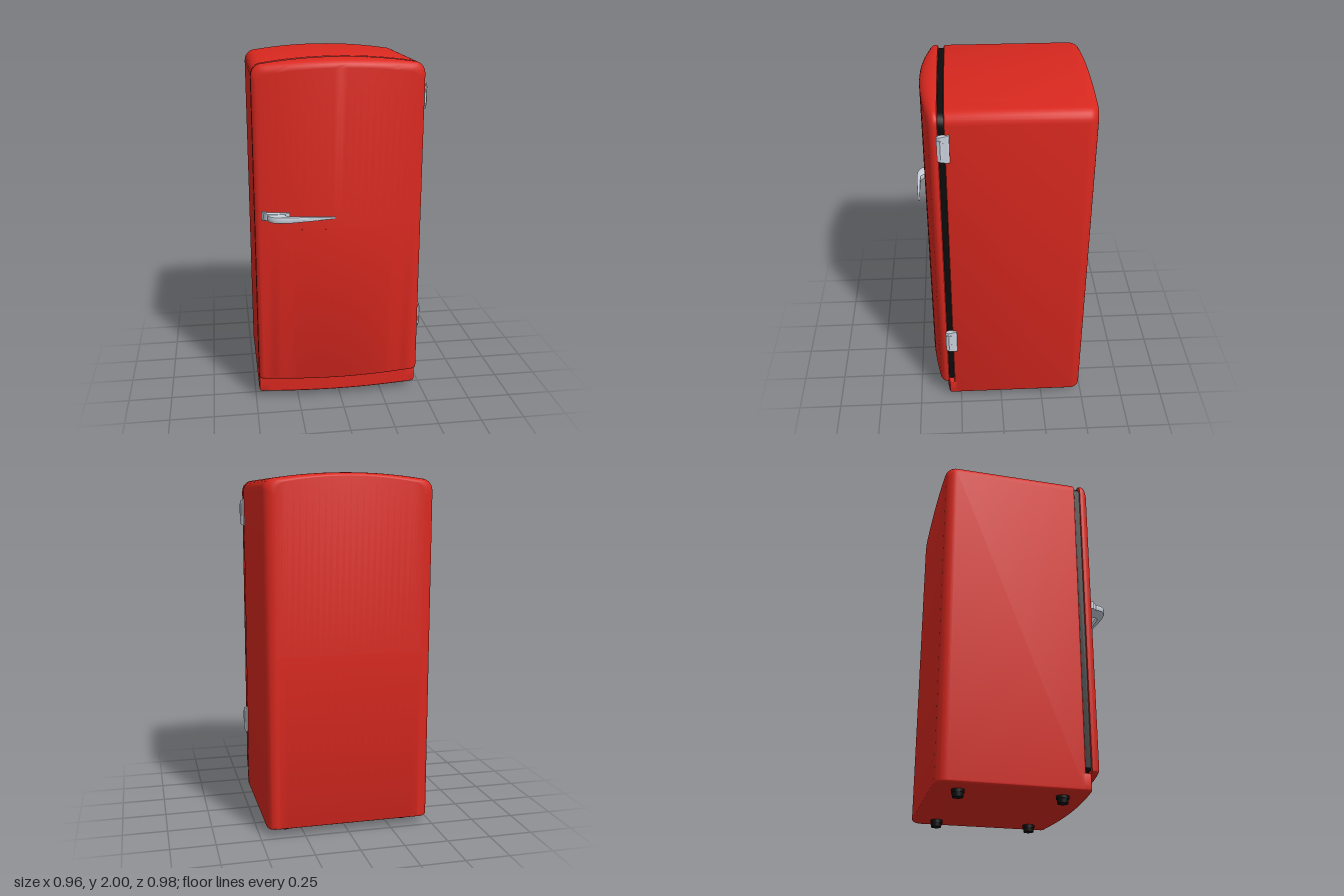
import * as THREE from 'three';
import { toCreasedNormals } from 'three/addons/utils/BufferGeometryUtils.js';

const HALF_W = 0.47;
const CENTRE_X = -0.01;
const material = (color) => new THREE.MeshStandardMaterial({ color });
const red = material(0xd9281f);
const black = material(0x0c0c0c);
const metal = material(0xc8d0dc);

// Counter-clockwise cabinet outline: arched top (sag), rounded corners.
function outline({ w, top, bottom, sag, rt, rb }) {
  const pts = [];
  const arc = (cx, cy, r, from) => {
    for (let i = 0; i <= 6; i++) {
      const a = from + (i / 6) * Math.PI / 2;
      pts.push([cx + r * Math.cos(a), cy + r * Math.sin(a)]);
    }
  };
  const shoulder = top - sag - rt;
  arc(w - rb, bottom + rb, rb, -Math.PI / 2);
  arc(w - rt, shoulder, rt, 0);
  for (let i = 1; i < 20; i++) {
    const u = 1 - i / 10;
    pts.push([u * (w - rt), top - sag * u * u]);
  }
  arc(-(w - rt), shoulder, rt, Math.PI / 2);
  arc(-(w - rb), bottom + rb, rb, Math.PI);
  for (let i = 1; i < 20; i++) pts.push([(i / 10 - 1) * (w - rb), bottom]);
  return pts;
}

// Skins outline rings from back to front; each ring has z, insets and a share of the front bulge.
function shell(base, rings, bulge = 0) {
  const mid = (base.top + base.bottom) / 2;
  const sections = rings.map(({ z, dx = 0, dt = 0, db = 0, f = 0 }) =>
    outline({ ...base, w: base.w - dx, top: base.top - dt, bottom: base.bottom + db })
      .map(([x, y]) => [x, y, z + f * bulge * (1 - (x / HALF_W) ** 2)]));
  // end faces: fold the first and last ring onto the horizontal mid line
  const fold = (s) => s.map(([x, , z]) => [x, mid, z]);
  sections.unshift(fold(sections[0]));
  sections.push(fold(sections[sections.length - 1]));

  const n = sections[0].length;
  const index = [];
  for (let i = 0; i < sections.length - 1; i++) {
    for (let j = 0; j < n; j++) {
      const a = i * n + j, b = i * n + (j + 1) % n;
      index.push(a, b, b + n, a, b + n, a + n);
    }
  }
  const g = new THREE.BufferGeometry();
  g.setAttribute('position', new THREE.Float32BufferAttribute(sections.flat(2), 3));
  g.setIndex(index);
  return toCreasedNormals(g, 0.6);
}

// Quarter-round series of rings, t from 0 to 1.
const quarter = (fn) => Array.from({ length: 9 }, (_, i) => {
  const a = (i / 8) * Math.PI / 2;
  return fn(Math.sin(a), 1 - Math.cos(a));
});

// Plan-view shape (x, z) extruded symmetrically about y = 0.
function planExtrude(shape, height, bevel) {
  const g = new THREE.ExtrudeGeometry(shape, {
    depth: height - 2 * bevel, bevelEnabled: true, bevelSize: bevel, bevelThickness: bevel,
    bevelOffset: -bevel, bevelSegments: 2, curveSegments: 10,
  });
  return g.translate(0, 0, bevel - height / 2).rotateX(Math.PI / 2);
}

export function createModel() {
  const model = new THREE.Group();
  const add = (name, geometry, mat, x = 0, y = 0, z = 0, parent = model) => {
    const mesh = new THREE.Mesh(geometry, mat);
    mesh.name = name;
    mesh.position.set(x, y, z);
    parent.add(mesh);
    return mesh;
  };

  // Cabinet with generously rounded rear edges
  const body = { w: HALF_W, top: 2, bottom: 0.04, sag: 0.03, rt: 0.065, rb: 0.015 };
  add('cabinet', shell(body, [
    ...quarter((s, c) => ({ z: -0.49 + 0.06 * c, dx: 0.06 * (1 - s), dt: 0.02 * (1 - s), db: 0.012 * (1 - s) })),
    { z: 0.28 },
    { z: 0.287, dx: 0.002, dt: 0.002, db: 0.002 },
    { z: 0.29, dx: 0.008, dt: 0.008, db: 0.008 },
  ]), red, CENTRE_X);

  // Door seal
  add('doorSeal', shell({ ...body, w: HALF_W - 0.01, top: 1.985, bottom: 0.155 },
    [{ z: 0.285 }, { z: 0.325 }]), black, CENTRE_X);

  // Bowed door with soft front edges
  add('door', shell({ ...body, bottom: 0.14 }, [
    { z: 0.321, dx: 0.008, dt: 0.008, db: 0.006 },
    { z: 0.324, dx: 0.002, dt: 0.002, db: 0.002 },
    { z: 0.33 },
    ...quarter((s, c) => ({ z: 0.338 + 0.027 * s, dx: 0.03 * c, dt: 0.05 * c, db: 0.02 * c, f: s })),
  ], 0.055), red, CENTRE_X);

  // Plinth below the door, bowed like the door
  add('plinth', shell({ w: HALF_W, top: 0.135, bottom: 0.04, sag: 0, rt: 0.004, rb: 0.015 }, [
    { z: 0.27 },
    { z: 0.305, f: 0.9 },
    { z: 0.317, f: 1, dx: 0.003, dt: 0.002, db: 0.002 },
    { z: 0.32, f: 1, dx: 0.01, dt: 0.006, db: 0.006 },
  ], 0.035), red, CENTRE_X);

  // Feet
  for (const x of [-0.35, 0.34]) {
    for (const z of [0.2, -0.355]) {
      const foot = new THREE.Group();
      foot.name = 'foot';
      foot.position.set(x, 0, z);
      add('footPad', new THREE.CylinderGeometry(0.031, 0.029, 0.025, 24), black, 0, 0.0125, 0, foot);
      add('footCollar', new THREE.CylinderGeometry(0.035, 0.035, 0.02, 24), black, 0, 0.034, 0, foot);
      model.add(foot);
    }
  }

  // Hinges: tapered leaf with a raised knuckle plate
  const leaf = new THREE.Shape();
  leaf.moveTo(0.44, 0.265).lineTo(0.466, 0.265).lineTo(0.473, 0.275)
    .lineTo(0.477, 0.31).lineTo(0.468, 0.33).lineTo(0.44, 0.33);
  const leafGeometry = planExtrude(leaf, 0.158, 0.003);
  const lp = leafGeometry.attributes.position;
  for (let i = 0; i < lp.count; i++) {
    const t = (lp.getZ(i) - 0.265) / 0.065;
    lp.setY(i, lp.getY(i) * (1 - 0.12 * t));
  }
  leafGeometry.computeVertexNormals();
  const knuckle = new THREE.Shape();
  knuckle.moveTo(0.455, 0.297).lineTo(0.477, 0.297).lineTo(0.481, 0.312)
    .lineTo(0.475, 0.326).lineTo(0.455, 0.326);
  const knuckleGeometry = planExtrude(knuckle, 0.105, 0.002);
  for (const y of [0.478, 1.78]) {
    const hinge = new THREE.Group();
    hinge.name = 'hinge';
    hinge.position.y = y;
    add('hingeLeaf', leafGeometry, metal, 0, 0, 0, hinge);
    add('hingeKnuckle', knuckleGeometry, metal, 0, 0, 0, hinge);
    model.add(hinge);
  }

  // Handle: mounting block and a curved lever that tapers to its tip
  const handle = new THREE.Group();
  handle.name = 'handle';
  handle.position.y = 1.15;
  model.add(handle);

  const block = new THREE.Shape();
  block.moveTo(-0.44, 0.36).lineTo(-0.29, 0.38).lineTo(-0.29, 0.414)
    .quadraticCurveTo(-0.32, 0.424, -0.36, 0.424)
    .quadraticCurveTo(-0.415, 0.424, -0.425, 0.405).lineTo(-0.44, 0.38);
  add('handleBlock', planExtrude(block, 0.04, 0.003), metal, 0, 0, 0, handle);
  add('handleEndCap', new THREE.BoxGeometry(0.025, 0.046, 0.035), metal, -0.428, 0, 0.375, handle);

  const lever = new THREE.Shape();
  lever.moveTo(-0.414, 0.41)
    .bezierCurveTo(-0.412, 0.47, -0.38, 0.487, -0.3, 0.487)
    .quadraticCurveTo(-0.2, 0.485, -0.05, 0.472)
    .quadraticCurveTo(-0.042, 0.468, -0.046, 0.461)
    .quadraticCurveTo(-0.18, 0.466, -0.29, 0.463)
    .quadraticCurveTo(-0.322, 0.46, -0.318, 0.41);
  const leverGeometry = planExtrude(lever, 0.034, 0.004);
  const p = leverGeometry.attributes.position;
  for (let i = 0; i < p.count; i++) {
    const t = THREE.MathUtils.clamp((p.getX(i) + 0.3) / 0.255, 0, 1);
    p.setY(i, p.getY(i) * (1 - 0.65 * t));
  }
  add('handleLever', toCreasedNormals(leverGeometry, 0.6), metal, 0, 0, 0, handle);

  return model;
}
